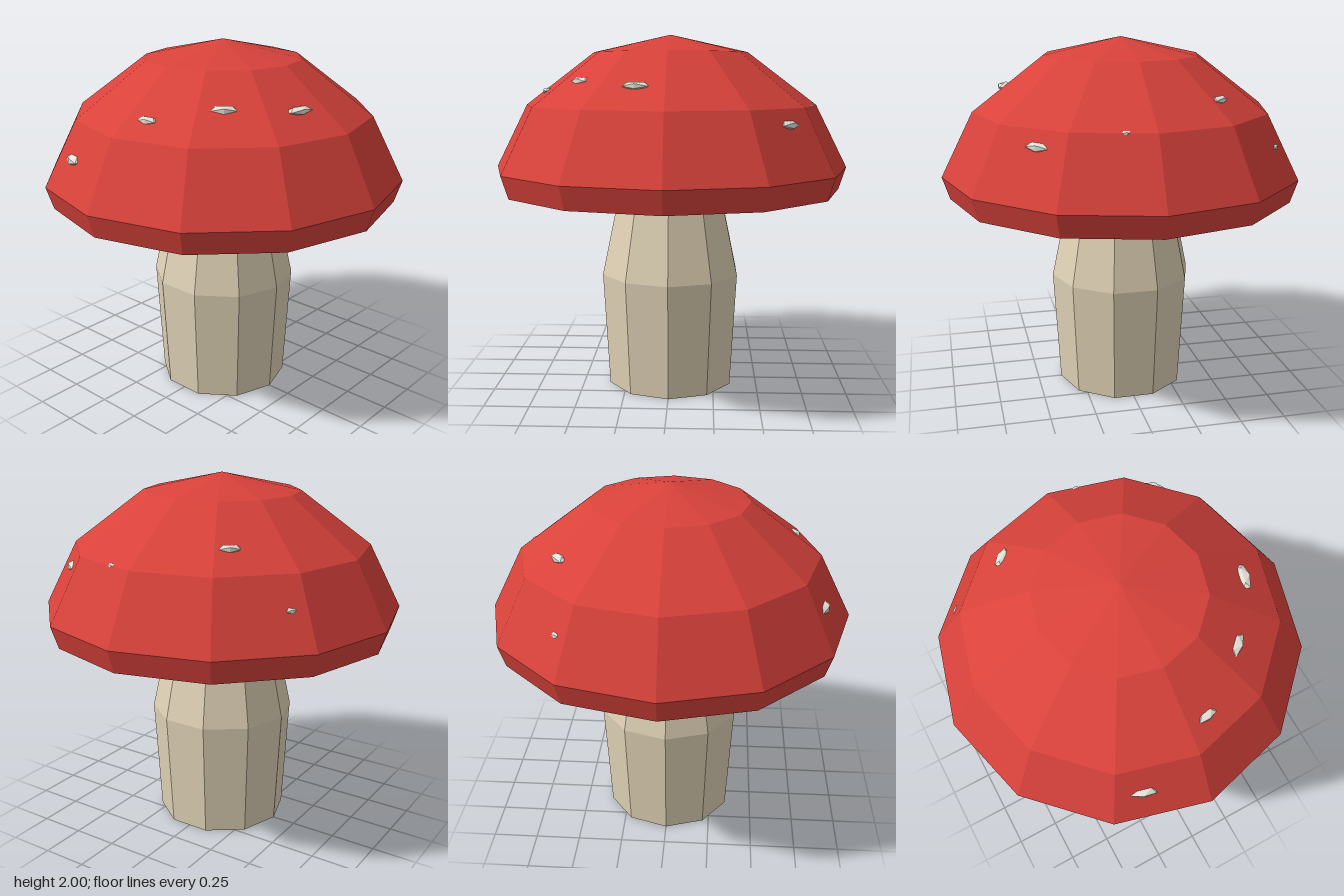
import * as THREE from 'three';

const flat = (name, color) => new THREE.MeshStandardMaterial({ name, color, flatShading: true });

// Faceted solid of revolution from [radius, height] pairs, with a corner on +x
function lathe(name, profile, sides, material) {
  const points = profile.map(([r, y]) => new THREE.Vector2(r, y));
  const mesh = new THREE.Mesh(new THREE.LatheGeometry(points, sides, Math.PI / 2), material);
  mesh.name = name;
  return mesh;
}

export function createModel() {
  const red = flat('capRed', 0xd9423b);
  const cream = flat('stemCream', 0xe0d2b6);
  const white = flat('spotWhite', 0xe8e4da);

  const model = new THREE.Group();
  model.name = 'mushroom';

  // Ten-sided stem, widest in the middle, running up into the cap
  model.add(lathe('stem', [[0, 0], [0.365, 0], [0.402, 0.65], [0.295, 1.15]], 10, cream));

  // Twelve-sided cap with a shallow conical underside
  model.add(lathe('cap', [
    [0, 1.065], [0.96, 1.135], [1, 1.26], [0.82, 1.612], [0.432, 1.904], [0, 2],
  ], 12, red));

  // Flattened pebble-like spots: x, y, z, half width, half height
  const spots = [
    [-0.31, 1.44, 0.825, 0.07, 0.03],
    [0.11, 1.69, 0.69, 0.055, 0.022],
    [0.41, 1.748, 0.46, 0.068, 0.025],
    [0.64, 1.727, 0.15, 0.072, 0.023],
    [0.55, 1.53, -0.625, 0.07, 0.028],
    [0.147, 1.61, -0.785, 0.028, 0.013],
    [-0.4, 1.715, -0.545, 0.056, 0.023],
    [-0.73, 1.45, -0.51, 0.032, 0.018],
  ];
  const pebble = new THREE.IcosahedronGeometry(1, 0);
  const spotGroup = new THREE.Group();
  spotGroup.name = 'spots';
  for (const [x, y, z, w, h] of spots) {
    const spot = new THREE.Mesh(pebble, white);
    spot.name = 'spot';
    const inward = 1 - 0.015 / Math.hypot(x, z);
    spot.position.set(x * inward, y, z * inward);
    spot.rotation.y = Math.atan2(x, z); // long side follows the rim
    spot.scale.set(w * 1.1, h, w * 0.6);
    spotGroup.add(spot);
  }
  model.add(spotGroup);
  return model;
}
